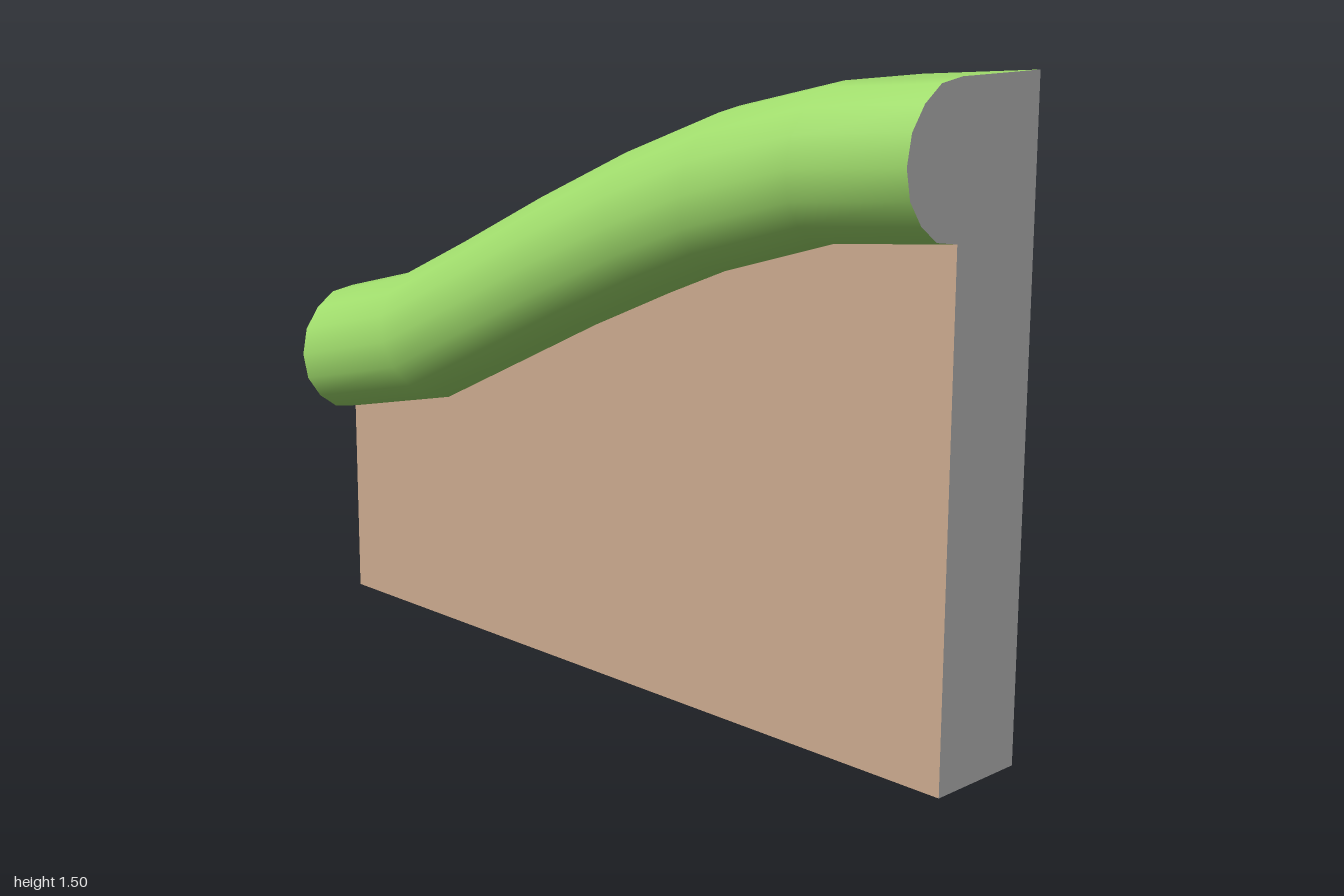
import * as THREE from 'three';

const BACK = -0.21, FACE = 0.045;

// Upper and lower edges of the grass band: [x, y] at matching stations
const TOP = [[-1, 0.835], [-0.71, 0.91], [-0.45, 1.03], [-0.17, 1.165], [0.12, 1.295], [0.41, 1.405], [0.7, 1.475], [1, 1.5]];
const LOW = [[-1, 0.505], [-0.6, 0.595], [-0.33, 0.725], [-0.05, 0.86], [0.2, 0.97], [0.37, 1.04], [0.68, 1.135], [1, 1.17]];

// Cross-section of the band: [z, share of the way from upper to lower edge]
const PROFILE = [[BACK, 0], [FACE, 0], [0.11, 0.03], [0.16, 0.14], [0.197, 0.3], [0.21, 0.5], [0.197, 0.7], [0.16, 0.86], [0.11, 0.97], [FACE, 1]];

const lerp = THREE.MathUtils.lerp;

function createMesh(name, geometry, color = 0xcccccc) {
  const mesh = new THREE.Mesh(geometry, new THREE.MeshStandardMaterial({ color }));
  mesh.name = name;
  return mesh;
}

// Flat face drawn as an outline, facing +z until turned
function flatFace(points) {
  return new THREE.ShapeGeometry(new THREE.Shape(points.map(([x, y]) => new THREE.Vector2(x, y))));
}

// Sweep the rounded cross-section along the slope
function grassGeometry() {
  const positions = [], index = [], n = PROFILE.length;
  TOP.forEach(([tx, ty], i) => {
    const [lx, ly] = LOW[i];
    for (const [z, t] of PROFILE) positions.push(lerp(tx, lx, t), lerp(ty, ly, t), z);
    if (i === TOP.length - 1) return;
    for (let j = 0; j < n - 1; j++) {
      const a = i * n + j, b = a + n;
      index.push(a, a + 1, b, a + 1, b + 1, b);
    }
  });
  const geometry = new THREE.BufferGeometry();
  geometry.setAttribute('position', new THREE.Float32BufferAttribute(positions, 3));
  geometry.setIndex(index);
  geometry.computeVertexNormals();
  return geometry;
}

// End cap: the band's section standing on the wall's section
function endGeometry(side) {
  const k = side > 0 ? TOP.length - 1 : 0;
  const outline = PROFILE.map(([z, t]) => [-side * z, lerp(TOP[k][1], LOW[k][1], t)]);
  outline.push([-side * FACE, 0], [-side * BACK, 0]);
  return flatFace(outline).rotateY(side * Math.PI / 2).translate(side, 0, 0);
}

export function createModel() {
  const group = new THREE.Group();
  group.name = 'slopedGroundEdge';

  group.add(createMesh('grassBand', grassGeometry(), 0xa0dc6c));

  // Earth wall below the band
  const front = flatFace([[-1, 0], [1, 0], ...LOW.slice().reverse()]).translate(0, 0, FACE);
  group.add(createMesh('earthFace', front, 0xcbaa8e));

  // Plain back, underside and ends
  const back = flatFace([[1, 0], [-1, 0], ...TOP].map(([x, y]) => [-x, y]));
  group.add(createMesh('backFace', back.rotateY(Math.PI).translate(0, 0, BACK)));

  const base = new THREE.PlaneGeometry(2, FACE - BACK).rotateX(Math.PI / 2);
  group.add(createMesh('underside', base.translate(0, 0, (FACE + BACK) / 2)));

  group.add(createMesh('leftEnd', endGeometry(1)), createMesh('rightEnd', endGeometry(-1)));
  return group;
}
